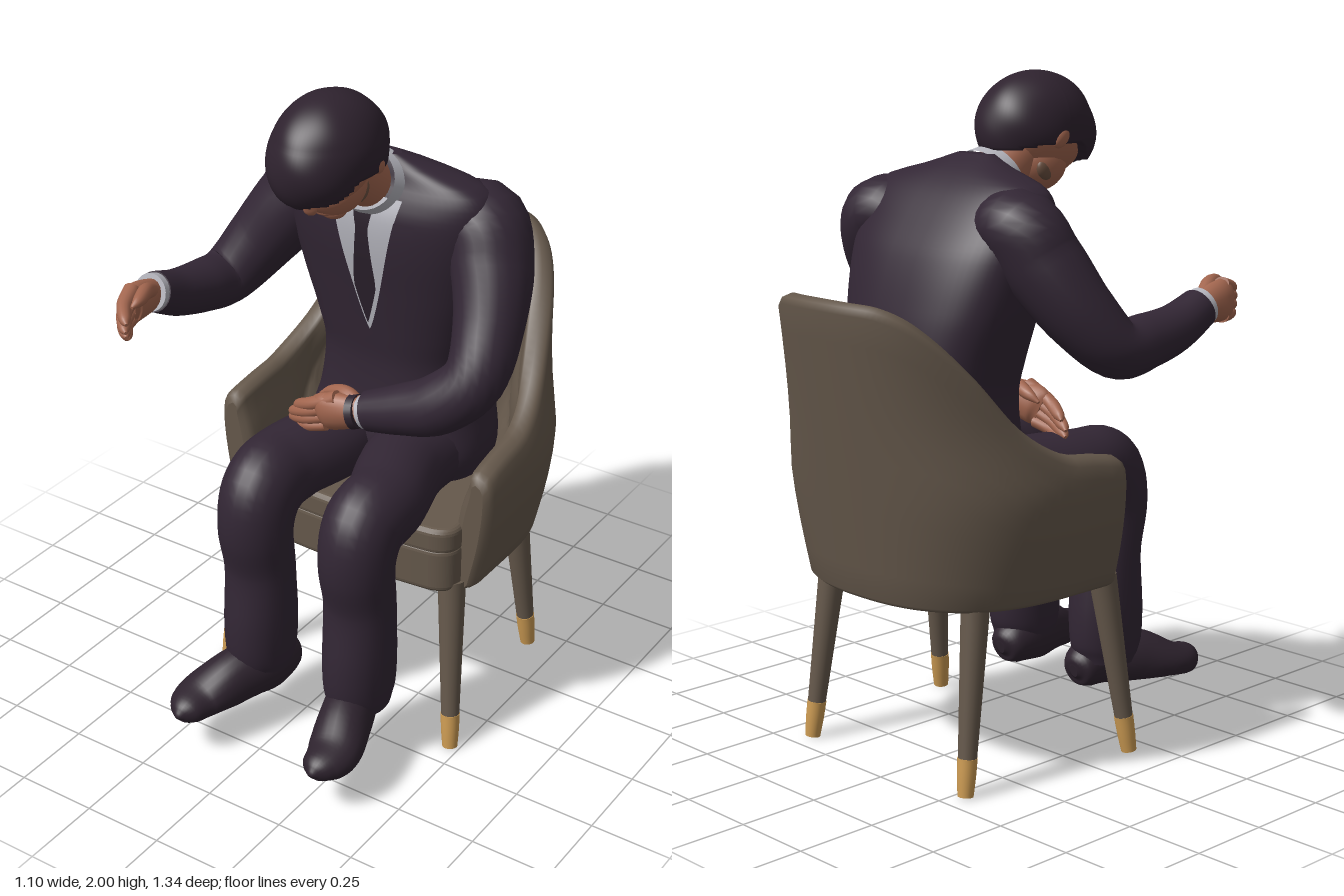
import * as THREE from 'three';

const mat = (name, color, side = THREE.FrontSide) => Object.assign(new THREE.MeshStandardMaterial({ color, side }), { name });

// Smooth interpolation in a table whose rows are [key, value, value, ...]
function at(rows, k) {
  const n = rows.length;
  let i = 0;
  while (i < n - 2 && k > rows[i + 1][0]) i++;
  const A = rows[i], B = rows[i + 1], P = rows[Math.max(i - 1, 0)], N = rows[Math.min(i + 2, n - 1)];
  const h = B[0] - A[0], t = Math.min(1, Math.max(0, (k - A[0]) / h)), t2 = t * t, t3 = t2 * t;
  return A.slice(1).map((a, c) => {
    const b = B[c + 1], m0 = (b - P[c + 1]) / (B[0] - P[0]), m1 = (N[c + 1] - a) / (N[0] - A[0]);
    return (2 * t3 - 3 * t2 + 1) * a + (t3 - 2 * t2 + t) * h * m0 + (3 * t2 - 2 * t3) * b + (t3 - t2) * h * m1;
  });
}

// Skin over closed rings, with flat end caps
function loft(rings) {
  const m = rings[0].length, pos = rings.flat(2), idx = [];
  for (let i = 0; i < rings.length - 1; i++) for (let j = 0; j < m; j++) {
    const a = i * m + j, b = i * m + (j + 1) % m;
    idx.push(a, b, a + m, b, b + m, a + m);
  }
  for (const [ring, end] of [[rings[0], false], [rings[rings.length - 1], true]]) {
    const base = pos.length / 3;
    pos.push(...ring.flat());
    for (let c = 0; c < 3; c++) pos.push(ring.reduce((s, p) => s + p[c], 0) / m);
    for (let j = 0; j < m; j++) {
      const a = base + j, b = base + (j + 1) % m;
      idx.push(base + m, ...(end ? [a, b] : [b, a]));
    }
  }
  const g = new THREE.BufferGeometry();
  g.setAttribute('position', new THREE.Float32BufferAttribute(pos, 3));
  g.setIndex(idx);
  g.computeVertexNormals();
  return g;
}

// Tapered tube through rows [x, y, z, radius along ref, other radius]; floor keeps a flat underside
function limb(pts, { ref = [1, 0, 0], seg = 24, steps = 6, floor = -1 } = {}) {
  const rows = pts.map((p, i) => [i, p[0], p[1], p[2], p[3], p[4] ?? p[3]]), last = pts.length - 1, rings = [];
  const r = new THREE.Vector3(...ref);
  for (let s = 0; s <= last * steps; s++) {
    const k = s / steps, [x, y, z, ra, rb] = at(rows, k);
    const T = new THREE.Vector3(...at(rows, k + 0.02).slice(0, 3)).sub(new THREE.Vector3(...at(rows, k - 0.02).slice(0, 3))).normalize();
    const n = r.clone().addScaledVector(T, -T.dot(r)).normalize(), b = T.clone().cross(n);
    rings.push(Array.from({ length: seg }, (_, j) => {
      const a = j / seg * Math.PI * 2, c = Math.cos(a) * ra, d = Math.sin(a) * rb;
      return [x + n.x * c + b.x * d, Math.max(floor, y + n.y * c + b.y * d), z + n.z * c + b.z * d];
    }));
  }
  return loft(rings);
}

// Jacket sections: height, half width, front z, back z
const CX = 0.05, POWER = 2.6;
const TORSO = [[0.74, 0.28, -0.02, -0.4], [0.82, 0.29, 0, -0.42], [0.95, 0.26, -0.02, -0.44], [1.1, 0.25, -0.03, -0.45],
  [1.2, 0.27, -0.02, -0.43], [1.35, 0.31, 0, -0.4], [1.5, 0.335, 0.02, -0.35], [1.6, 0.34, 0.02, -0.29],
  [1.66, 0.335, 0, -0.245], [1.7, 0.29, -0.02, -0.205], [1.74, 0.15, -0.03, -0.15], [1.77, 0.07, -0.04, -0.09]];
const pw = (v, e) => Math.sign(v) * Math.abs(v) ** e;

function torsoGeometry() {
  return loft(Array.from({ length: 61 }, (_, i) => {
    const y = 0.74 + 1.03 * i / 60, [rx, f, b] = at(TORSO, y);
    return Array.from({ length: 64 }, (_, j) => {
      const a = j / 64 * Math.PI * 2;
      return [CX + rx * pw(Math.cos(a), 2 / POWER), y, (f + b) / 2 - (f - b) / 2 * pw(Math.sin(a), 2 / POWER)];
    });
  }));
}

// Thin cloth panel lying on the chest between two edges
function panel(y0, y1, left, right, off) {
  const g = new THREE.PlaneGeometry(1, 1, 8, 24), p = g.attributes.position;
  for (let i = 0; i < p.count; i++) {
    const y = y0 + (p.getY(i) + 0.5) * (y1 - y0), x = left(y) + (p.getX(i) + 0.5) * (right(y) - left(y));
    const [rx, f, b] = at(TORSO, y), u = Math.min(1, Math.abs(x / rx));
    p.setXYZ(i, CX + 0.005 + x, y, (f + b) / 2 + (f - b) / 2 * (1 - u ** POWER) ** (1 / POWER) + off);
  }
  g.computeVertexNormals();
  return g;
}

// Upholstered shell: wraps from one arm around the back to the other
function shellGeometry() {
  const height = [[-0.67, 1.41], [-0.63, 1.4], [-0.57, 1.355], [-0.43, 1.2], [-0.3, 1.05], [-0.15, 0.965], [0, 0.94], [0.1, 0.92]];
  const width = [[0.53, 0.43], [0.7, 0.465], [0.85, 0.477], [0.95, 0.458], [1.05, 0.437], [1.2, 0.422], [1.41, 0.415]];
  const stations = [];
  for (const [z, k] of [[0.1, 0.55], [0.09, 0.87], [0.07, 1], [0.03, 1], [-0.03, 1]]) stations.push({ z, k, c: 1, s: 0 });
  for (let i = 0; i <= 80; i++) stations.push({ z: -0.1, k: 1, c: pw(Math.cos(i / 80 * Math.PI), 0.8), s: Math.abs(Math.sin(i / 80 * Math.PI)) ** 0.8, a: i / 80 });
  for (let i = 4; i >= 0; i--) stations.push({ ...stations[i], c: -1 });
  return loft(stations.map(({ z, k, c, s, a = 0 }) => {
    const H = at(height, z - 0.57 * s)[0] - (1 - k) * 0.06;
    const P = (y, off) => {
      const o = 0.05 + (off - 0.05) * k;
      return [0.06 + c * (at(width, y)[0] - o), y, z - s * (0.43 + 0.16 * (y - 0.53) - o)];
    };
    const ring = [];
    for (let i = 0; i <= 10; i++) ring.push(P(H - 0.03 - (H - 0.575) * i / 10, 0));
    ring.push(P(0.532, 0.012), P(0.53, 0.03), P(0.53, 0.11));
    for (let i = 0; i <= 18; i++) {
      const v = i / 18, y = 0.545 + (H - 0.575) * v, u = a * Math.PI * 5, w = y * 7;
      const tuft = 0.03 * Math.sqrt(Math.abs(Math.cos(u + w) * Math.cos(u - w))) * Math.sin(v * Math.PI);
      ring.push(P(y, 0.13 - 0.06 * v + tuft));
    }
    ring.push(P(H - 0.01, 0.062), P(H, 0.036), P(H - 0.01, 0.01));
    return ring;
  }));
}

// Rounded seat slab with a bowed front
function slab(y0, y1) {
  const s = new THREE.Shape(), w = 0.37, f = 0.165;
  s.moveTo(-w, -0.1).lineTo(-w, f - 0.06).quadraticCurveTo(-w, f - 0.02, -w + 0.05, f - 0.01);
  s.quadraticCurveTo(0, f + 0.03, w - 0.05, f - 0.01).quadraticCurveTo(w, f - 0.02, w, f - 0.06).lineTo(w, -0.1);
  s.absellipse(0, -0.1, w, 0.36, 0, -Math.PI, true);
  const g = new THREE.ExtrudeGeometry(s, { depth: y1 - y0 - 0.04, bevelSize: 0.02, bevelThickness: 0.02, bevelSegments: 4, curveSegments: 24 });
  return g.rotateX(Math.PI / 2).translate(0.06, y1 - 0.02, 0);
}

export function createModel() {
  const suit = mat('suit cloth', 0x322634), shoe = mat('shoe leather', 0x2e232e), hair = mat('hair', 0x2e222e);
  const tie = mat('tie silk', 0x2a202b, THREE.DoubleSide), shirt = mat('shirt cotton', 0xb4b4bc, THREE.DoubleSide), beard = mat('stubble', 0x6b5040);
  const skin = mat('skin', 0xa2664f), fabric = mat('chair fabric', 0x65584b), brass = mat('brass', 0xcc9b53);
  const model = new THREE.Group(), man = new THREE.Group(), chair = new THREE.Group();
  man.name = 'seatedMan';
  chair.name = 'chair';
  model.add(chair, man);
  const add = (parent, name, geo, m) => {
    const mesh = new THREE.Mesh(geo, m);
    mesh.name = name;
    parent.add(mesh);
    return mesh;
  };
  const ball = (parent, name, m, [x, y, z], [a, b, c]) => add(parent, name, new THREE.SphereGeometry(1, 32, 24).scale(a, b, c).translate(x, y, z), m);

  // Chair
  add(chair, 'backAndArms', shellGeometry(), fabric);
  add(chair, 'seatBase', slab(0.53, 0.68), fabric);
  add(chair, 'seatCushion', slab(0.66, 0.745), fabric);
  for (const side of [1, -1]) for (const [name, xt, zt, xb, zb] of [['front', 0.365, 0.1, 0.415, 0.17], ['back', 0.31, -0.36, 0.34, -0.43]]) {
    const p = (t, r) => [0.055 + side * (xb + (xt - xb) * t), 0.55 * t, zb + (zt - zb) * t, r];
    add(chair, name + 'Leg', limb([p(1, 0.042), p(0.18, 0.027)]), fabric);
    add(chair, name + 'LegTip', limb([p(0.2, 0.029), p(0.1, 0.027), p(0, 0.023)]), brass);
  }

  // Jacket, shirt front and tie
  add(man, 'jacket', torsoGeometry(), suit);
  const vee = y => 0.11 * Math.max(0, (y - 1.22) / 0.42) ** 0.8;
  const tieHalf = y => y > 1.56 ? 0.02 + (y - 1.56) * 0.2 : Math.max(0, Math.min(0.036 - Math.max(0, y - 1.4) * 0.1, vee(y) - 0.012));
  add(man, 'shirtFront', panel(1.22, 1.66, y => -vee(y), vee, 0.006), shirt);
  add(man, 'tie', panel(1.25, 1.61, y => -tieHalf(y), tieHalf, 0.014), tie);
  const lapel = y => vee(y) + 0.065 * Math.min(1, Math.max(0, (y - 1.22) / 0.28));
  add(man, 'lapel', panel(1.22, 1.6, vee, lapel, 0.01), suit);
  add(man, 'lapel', panel(1.22, 1.6, y => -lapel(y), y => -vee(y), 0.01), suit);
  const collar = add(man, 'shirtCollar', new THREE.CylinderGeometry(0.09, 0.102, 0.05, 32, 1, true).scale(1.15, 1, 1), shirt);
  collar.position.set(0.047, 1.697, -0.005);
  collar.rotation.x = 1.12;

  // Legs and shoes
  for (const [hip, knee, heel, toe] of [[-0.07, -0.105, -0.088, -0.178], [0.19, 0.252, 0.234, 0.305]]) {
    add(man, 'trouserLeg', limb([[hip, 0.81, -0.22, 0.13], [hip, 0.815, 0, 0.13, 0.125], [knee, 0.815, 0.2, 0.122], [knee, 0.79, 0.31, 0.116, 0.135],
      [knee, 0.69, 0.352, 0.112, 0.115], [knee, 0.54, 0.335, 0.108, 0.105], [knee, 0.36, 0.335, 0.106, 0.122], [knee, 0.25, 0.335, 0.1, 0.12], [knee, 0.19, 0.33, 0.088, 0.1]]), suit);
    const mid = (heel + toe) / 2;
    add(man, 'shoe', limb([[heel, 0.17, 0.212, 0.015, 0.02], [heel, 0.175, 0.235, 0.06, 0.06], [heel, 0.185, 0.33, 0.074, 0.09], [mid, 0.175, 0.44, 0.08, 0.09],
      [toe, 0.15, 0.55, 0.08, 0.06], [toe, 0.145, 0.625, 0.056, 0.045], [toe, 0.14, 0.655, 0.025, 0.025], [toe, 0.135, 0.663, 0.003, 0.004]], { floor: 0.12 }), shoe);
  }

  // Sleeves, cuffs and watch strap
  add(man, 'leftSleeve', limb([[0.14, 1.52, -0.14, 0.06, 0.06], [0.32, 1.588, -0.165, 0.125, 0.11], [0.392, 1.48, -0.12, 0.125, 0.118], [0.44, 1.34, -0.03, 0.102],
    [0.45, 1.21, 0.06, 0.09], [0.36, 1.12, 0.1, 0.088], [0.25, 1.075, 0.115, 0.075], [0.14, 1.04, 0.125, 0.06]], { ref: [0, 0, 1] }), suit);
  add(man, 'rightSleeve', limb([[-0.04, 1.52, -0.14, 0.06, 0.06], [-0.222, 1.588, -0.165, 0.11, 0.125], [-0.3, 1.49, -0.14, 0.118, 0.125], [-0.39, 1.36, -0.09, 0.105],
    [-0.455, 1.26, -0.01, 0.088], [-0.465, 1.265, 0.1, 0.08], [-0.47, 1.29, 0.22, 0.07], [-0.47, 1.335, 0.325, 0.06]], { ref: [0, 1, 0.3] }), suit);
  add(man, 'leftCuff', limb([[0.16, 1.045, 0.125, 0.052], [0.125, 1.032, 0.127, 0.05]], { ref: [0, 0, 1] }), shirt);
  add(man, 'watchStrap', limb([[0.112, 1.03, 0.128, 0.05], [0.09, 1.024, 0.13, 0.053]], { ref: [0, 0, 1] }), shoe);
  add(man, 'rightCuff', limb([[-0.47, 1.33, 0.31, 0.056], [-0.47, 1.34, 0.342, 0.056]]), shirt);

  // Hands: palm, four curled fingers and a thumb
  const hand = (name, wrist, palm, tip, spread, curl) => {
    const W = new THREE.Vector3(...wrist), K = new THREE.Vector3(...palm), E = new THREE.Vector3(...tip);
    const S = new THREE.Vector3(...spread), C = new THREE.Vector3(...curl), g = new THREE.Group();
    g.name = name;
    man.add(g);
    const row = (v, a, b) => [v.x, v.y, v.z, a, b ?? a];
    const opt = { ref: spread, seg: 14 };
    add(g, 'palm', limb([row(W, 0.04, 0.034), row(W.clone().lerp(K, 0.5), 0.056, 0.042), row(K, 0.062, 0.038), row(K.clone().lerp(E, 0.2), 0.05, 0.02)], opt), skin);
    for (let f = 0; f < 4; f++) {
      const o = S.clone().multiplyScalar(0.046 - f * 0.031), reach = [0.92, 1, 0.95, 0.8][f];
      const q = (t, c) => K.clone().lerp(E, t * reach).addScaledVector(o, 1 - 0.35 * t).addScaledVector(C, c);
      add(g, 'finger', limb([row(q(-0.1, 0), 0.02, 0.024), row(q(0.45, -0.006), 0.02, 0.022), row(q(0.85, 0.012), 0.017), row(q(1, 0.024), 0.005)], opt), skin);
    }
    const t = (k, s, c) => W.clone().lerp(K, k).addScaledVector(S, s).addScaledVector(C, c);
    add(g, 'thumb', limb([row(t(0.3, 0.02, 0.01), 0.024), row(t(0.8, 0.046, 0.035), 0.023), row(t(1.3, 0.045, 0.055), 0.018), row(t(1.6, 0.035, 0.055), 0.005)], opt), skin);
  };
  hand('leftHand', [0.13, 1.035, 0.127], [0.01, 1.005, 0.14], [-0.145, 0.94, 0.14], [0.42, 1.1, 0.12], [0, 0, -1]);
  hand('rightHand', [-0.47, 1.335, 0.32], [-0.46, 1.345, 0.44], [-0.4, 1.325, 0.57], [0.1, 0.97, 0.1], [1, 0, 0]);

  // Neck and bowed head
  add(man, 'neck', limb([[0.045, 1.63, -0.1, 0.075], [0.04, 1.7, 0, 0.077], [0.03, 1.78, 0.1, 0.08]]), skin);
  const head = new THREE.Group();
  head.name = 'head';
  head.position.set(0.025, 1.83, 0.155);
  head.rotation.x = 0.85;
  man.add(head);
  ball(head, 'skull', skin, [0, 0.01, 0], [0.132, 0.145, 0.155]);
  ball(head, 'jaw', skin, [0, -0.07, 0.06], [0.105, 0.092, 0.095]);
  ball(head, 'chin', skin, [0, -0.13, 0.115], [0.045, 0.032, 0.035]);
  add(head, 'nose', limb([[0, 0.04, 0.142, 0.012], [0, -0.005, 0.154, 0.016], [0, -0.03, 0.162, 0.021, 0.017], [0, -0.045, 0.152, 0.006]], { seg: 12 }), skin);
  ball(head, 'lips', skin, [0, -0.085, 0.143], [0.034, 0.013, 0.014]);
  for (const s of [1, -1]) {
    ball(head, 'ear', skin, [s * 0.137, -0.035, -0.01], [0.016, 0.038, 0.026]);
    ball(head, 'stubble', beard, [s * 0.08, -0.108, 0.055], [0.017, 0.026, 0.034]);
  }

  // Hair cap with a hanging fringe
  const cap = new THREE.SphereGeometry(1, 72, 64), p = cap.attributes.position, v = new THREE.Vector3();
  for (let i = 0; i < p.count; i++) {
    v.fromBufferAttribute(p, i);
    const hem = -0.045 - (0.066 + 0.008 * Math.sin(8 * v.x + 1)) * THREE.MathUtils.smoothstep(v.z, 0.2, 0.7) - 0.015 * THREE.MathUtils.smoothstep(-v.z, 0.4, 0.9);
    const wave = 1 + 0.012 * Math.sin(5 * Math.atan2(v.x, v.z) + 5 * v.y) * (1 - v.y * v.y);
    const full = 1 + 0.15 * Math.max(0, v.z) * Math.max(0, 0.35 - v.y);
    v.multiply(new THREE.Vector3(0.152, 0.165, 0.193)).multiplyScalar(wave * full);
    if (v.y < hem) v.set(v.x * 0.72, hem + 0.008, v.z * 0.8);
    p.setXYZ(i, v.x, v.y, v.z);
  }
  cap.computeVertexNormals();
  add(man, 'hair', cap, hair).position.set(0.025, 1.835, 0.147);
  return model;
}
